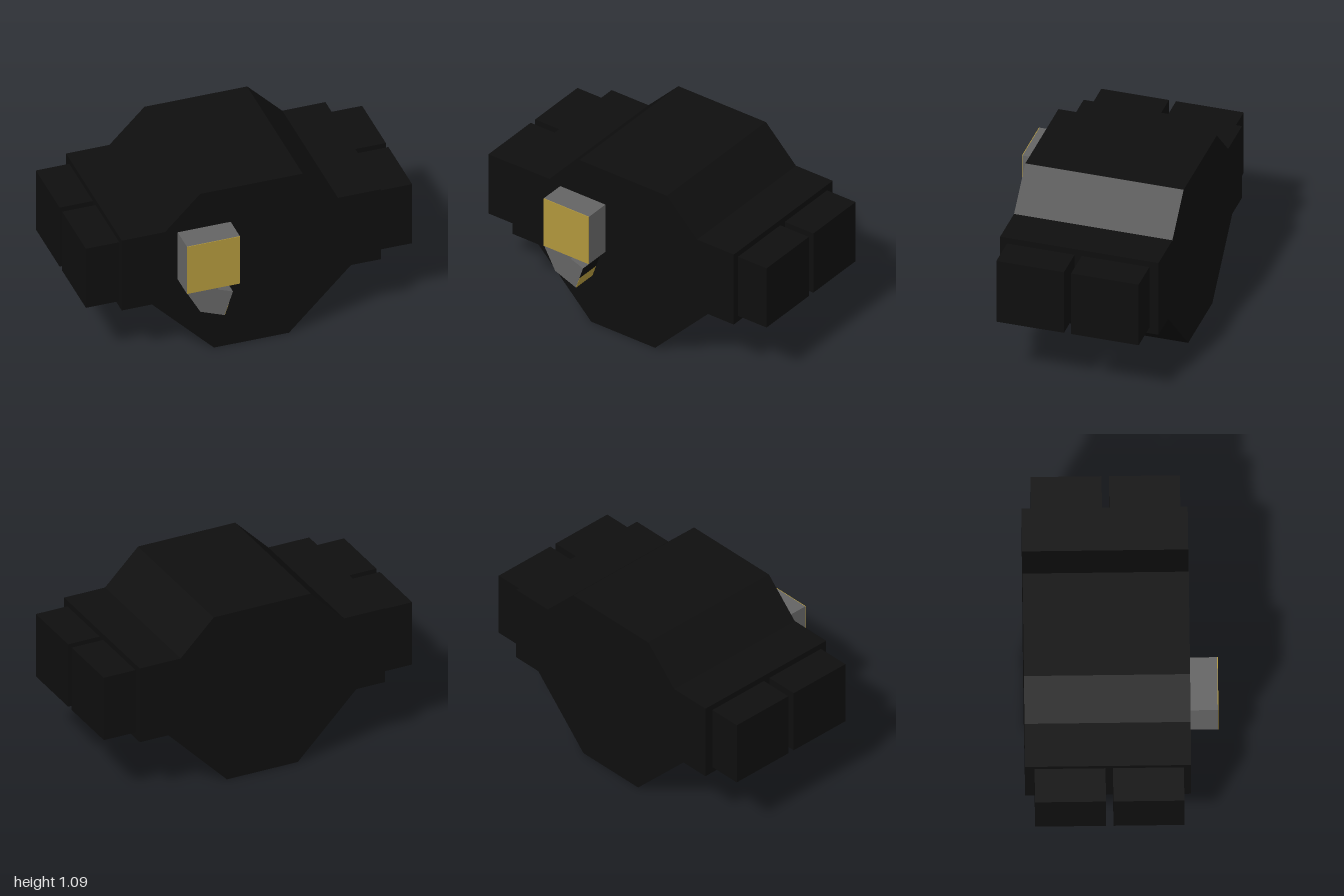
import * as THREE from 'three';

const material = (name, color) => {
  const m = new THREE.MeshStandardMaterial({ color });
  m.name = name;
  return m;
};

export function createModel() {
  const black = material('black', 0x0e0e0e);
  const grey = material('grey', 0x646464);
  const gold = material('gold', 0xb0963c);
  const model = new THREE.Group();

  const add = (name, geometry, mat, x = 0, y = 0, z = 0) => {
    const mesh = new THREE.Mesh(geometry, mat);
    mesh.name = name;
    mesh.position.set(x, y, z);
    model.add(mesh);
    return mesh;
  };

  // Prism with an outline in x and y, running from z0 to z1
  const prism = (points, z0, z1) => {
    const shape = new THREE.Shape(points.map(([x, y]) => new THREE.Vector2(x, y)));
    return new THREE.ExtrudeGeometry(shape, { depth: z1 - z0, bevelEnabled: false }).translate(0, 0, z0);
  };

  // Main body, half outline mirrored
  const half = [[0.23, 0], [0.61, 0.385], [0.795, 0.385], [0.795, 0.87], [0.53, 0.87], [0.315, 1.087]];
  const mirrored = half.map(([x, y]) => [-x, y]).reverse();
  add('body', prism([...half, ...mirrored], -0.56, 0.4), black);

  // Two blocks on each side
  for (const side of [-1, 1]) {
    for (const z of [-0.3, 0.153]) {
      add('sideBlock', new THREE.BoxGeometry(0.21, 0.41, 0.41), black, side * 0.895, 0.628, z);
    }
  }

  // Front box with a gold face
  add('frontBox', new THREE.BoxGeometry(0.325, 0.327, 0.16), grey, -0.29, 0.6885, 0.478);
  add('frontBoxFace', new THREE.BoxGeometry(0.325, 0.327, 0.004), gold, -0.29, 0.6885, 0.56);

  // Angled nozzle below the box
  const a = new THREE.Vector2(-0.222, 0.325);
  const b = new THREE.Vector2(-0.17, 0.478);
  add('nozzle', prism([[-0.45, 0.525], [-0.37, 0.382], [a.x, a.y], [b.x, b.y], [-0.26, 0.511], [-0.27, 0.525]], 0.4, 0.56), grey);

  // Gold and black halves of the nozzle opening
  const length = a.distanceTo(b);
  const angle = Math.atan2(b.y - a.y, b.x - a.x);
  [[0.25, gold, 'nozzleLowerFace'], [0.75, black, 'nozzleUpperFace']].forEach(([t, mat, name]) => {
    const p = a.clone().lerp(b, t);
    add(name, new THREE.BoxGeometry(length / 2, 0.004, 0.159), mat, p.x, p.y, 0.48).rotation.z = angle;
  });

  return model;
}
